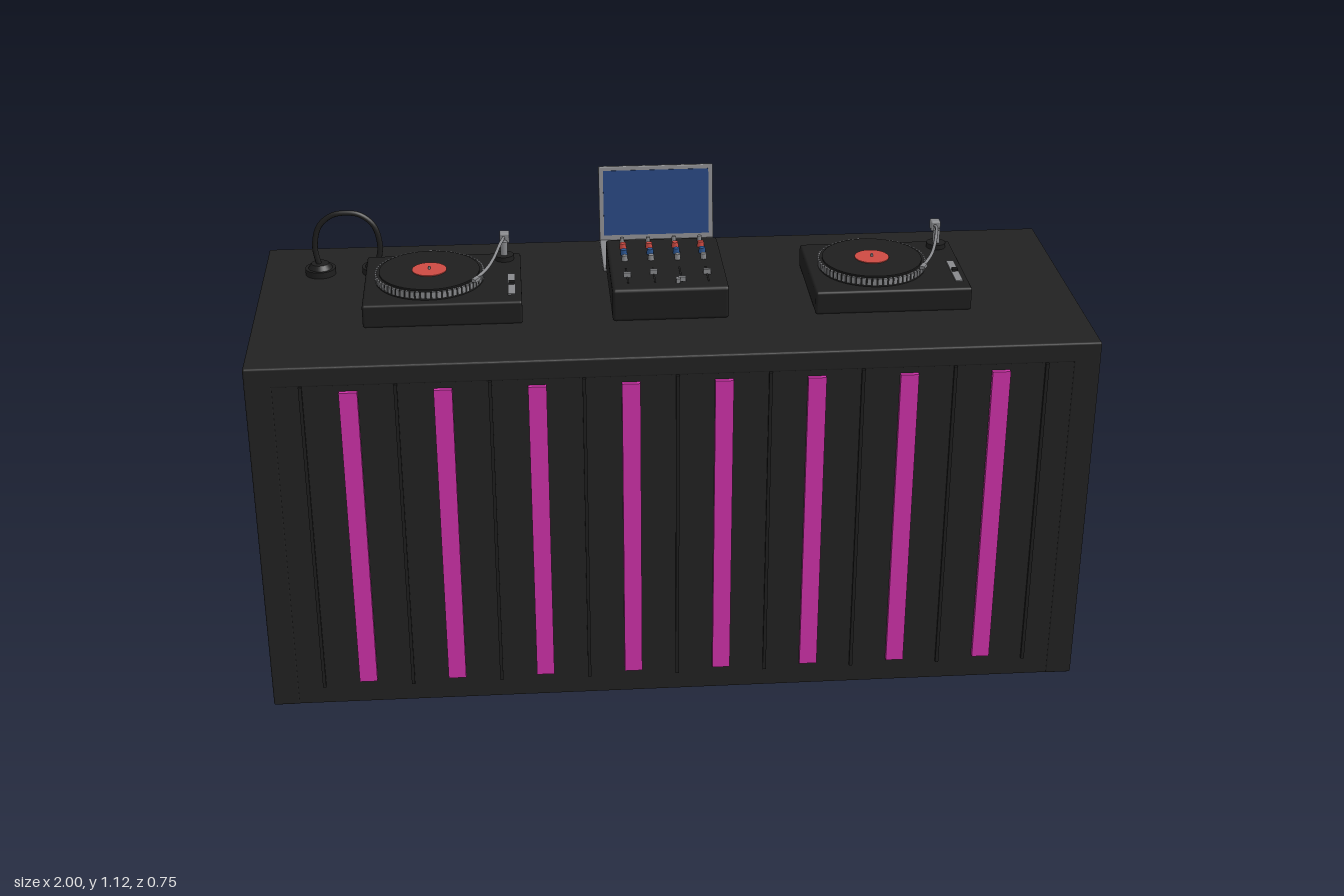
import * as THREE from 'three';
import { RoundedBoxGeometry } from 'three/addons/geometries/RoundedBoxGeometry.js';

const mat = (name, color) => {
  const m = new THREE.MeshStandardMaterial({ color });
  m.name = name;
  return m;
};

export function createModel() {
  const black = mat('boothBlack', 0x222222);
  const dark = mat('deviceBlack', 0x1e1e1e);
  const magenta = mat('lightMagenta', 0xd032aa);
  const grey = mat('metalGrey', 0x88898c);
  const red = mat('labelRed', 0xcc4a42);
  const blue = mat('knobBlue', 0x2a5590);
  const screenBlue = mat('screenBlue', 0x24437c);

  const add = (parent, name, geo, material, x = 0, y = 0, z = 0) => {
    const m = new THREE.Mesh(geo, material);
    m.name = name;
    m.position.set(x, y, z);
    parent.add(m);
    return m;
  };
  const box = (w, h, d) => new THREE.BoxGeometry(w, h, d);
  const rbox = (w, h, d, r) => new RoundedBoxGeometry(w, h, d, 2, r);
  const cyl = (r, h, n = 32, rt = r) => new THREE.CylinderGeometry(rt, r, h, n);
  const tube = (points, r) => new THREE.TubeGeometry(
    new THREE.CatmullRomCurve3(points.map(p => new THREE.Vector3(...p))), 40, r, 8);
  const group = (parent, name, x = 0, y = 0, z = 0) => {
    const g = new THREE.Group();
    g.name = name;
    g.position.set(x, y, z);
    parent.add(g);
    return g;
  };

  const model = new THREE.Group();
  model.name = 'djBooth';
  const TOP = 0.918;

  // Booth: top, two sides and front, open at the back and underneath
  const booth = group(model, 'booth');
  add(booth, 'tableTop', rbox(2, 0.05, 0.73, 0.005), black, 0, TOP - 0.025, 0);
  for (const s of [-1, 1]) {
    add(booth, 'sidePanel', rbox(0.064, 0.88, 0.73, 0.004), black, s * 0.968, 0.44, 0);
  }
  add(booth, 'frontPanel', box(1.9, 0.875, 0.06), black, 0, 0.4395, 0.334);

  // Front ribs with light strips between them
  for (let i = 0; i < 9; i++) {
    add(booth, 'frontRib', box(0.008, 0.82, 0.01), dark, (i - 4) * 0.218, 0.46, 0.366);
  }
  for (let i = 0; i < 8; i++) {
    add(booth, 'lightStrip', box(0.043, 0.79, 0.012), magenta, (i - 3.5) * 0.218, 0.46, 0.369);
  }

  // Turntables
  for (const x of [-0.545, 0.54]) {
    const t = group(model, 'turntable', x, TOP, 0);
    add(t, 'turntableBody', rbox(0.38, 0.058, 0.31, 0.006), dark, 0, 0.029, 0);
    const deck = group(t, 'platter', -0.032, 0, 0);
    add(deck, 'platterDisc', cyl(0.131, 0.02, 64), dark, 0, 0.068, 0);
    // Dotted rim of the platter
    for (let i = 0; i < 64; i++) {
      const a = i / 64 * Math.PI * 2;
      const dot = add(deck, 'rimDot', box(0.004, 0.016, 0.008), grey,
        Math.cos(a) * 0.131, 0.071, Math.sin(a) * 0.131);
      dot.rotation.y = -a;
    }
    add(deck, 'record', cyl(0.122, 0.004, 64), dark, 0, 0.08, 0);
    add(deck, 'recordLabel', cyl(0.042, 0.002), red, 0, 0.083, 0);
    add(deck, 'spindle', cyl(0.003, 0.01, 10), grey, 0, 0.086, 0);

    // Tonearm with pivot, counterweight and cartridge
    const arm = group(t, 'tonearm');
    add(arm, 'armBase', cyl(0.024, 0.012, 24), dark, 0.15, 0.064, -0.115);
    add(arm, 'armPivot', cyl(0.009, 0.045, 16), grey, 0.15, 0.082, -0.115);
    add(arm, 'armTube', tube([[0.15, 0.102, -0.15], [0.148, 0.112, -0.11], [0.141, 0.116, -0.07],
      [0.125, 0.104, -0.01], [0.11, 0.096, 0.03], [0.086, 0.09, 0.075]], 0.004), grey);
    add(arm, 'counterweight', rbox(0.024, 0.026, 0.026, 0.004), grey, 0.152, 0.104, -0.147);
    const head = add(arm, 'cartridge', box(0.012, 0.008, 0.026), grey, 0.082, 0.088, 0.082);
    head.rotation.y = -0.5;

    // Pitch slider
    add(t, 'pitchSlot', box(0.018, 0.004, 0.125), grey, 0.166, 0.059, 0.05);
    add(t, 'pitchHandle', box(0.014, 0.01, 0.012), dark, 0.166, 0.062, 0.05);
  }

  // Mixer with rows of knobs, then faders
  const mixer = group(model, 'mixer', 0, TOP, 0);
  add(mixer, 'mixerBody', rbox(0.28, 0.082, 0.325, 0.008), dark, 0, 0.041, -0.002);
  const rows = [[-0.141, grey, 0.006], [-0.103, red, 0.009], [-0.062, blue, 0.009], [-0.024, grey, 0.008]];
  const columns = [-0.1, -0.035, 0.03, 0.094];
  const faderZ = [0.08, 0.067, 0.115, 0.072];
  columns.forEach((x, i) => {
    for (const [z, material, r] of rows) {
      add(mixer, 'knob', cyl(r, 0.015, 16, r * 0.85), material, x, 0.088, z);
    }
    add(mixer, 'faderSlot', box(0.004, 0.002, 0.09), black, x, 0.0825, 0.075);
    add(mixer, 'faderCap', box(0.018, 0.014, 0.009), grey, x, 0.087, faderZ[i]);
  });
  add(mixer, 'crossfaderCap', box(0.01, 0.013, 0.014), grey, 0.02, 0.087, 0.122);

  // Laptop
  const laptop = group(model, 'laptop', 0, TOP, 0);
  add(laptop, 'laptopBase', rbox(0.295, 0.014, 0.195, 0.004), grey, 0, 0.007, -0.248);
  const lid = group(laptop, 'laptopLid', 0, 0.012, -0.333);
  lid.rotation.x = -0.185;
  add(lid, 'lidShell', rbox(0.295, 0.193, 0.01, 0.003), grey, 0, 0.0965, 0);
  add(lid, 'screen', box(0.272, 0.168, 0.003), screenBlue, 0, 0.098, 0.0055);

  // Headphones standing on their ear cups
  const phones = group(model, 'headphones', -0.786, TOP, -0.195);
  for (const s of [-1, 1]) {
    add(phones, 'earCup', cyl(0.038, 0.016), dark, s * 0.071, 0.008, 0);
    add(phones, 'earCap', cyl(0.03, 0.012, 32, 0.022), dark, s * 0.071, 0.022, 0);
  }
  add(phones, 'headband', tube([[-0.073, 0.02, 0], [-0.081, 0.07, 0], [-0.068, 0.125, 0], [-0.035, 0.154, 0],
    [0, 0.16, 0], [0.035, 0.154, 0], [0.068, 0.125, 0], [0.081, 0.07, 0], [0.073, 0.02, 0]], 0.007), dark);

  return model;
}
